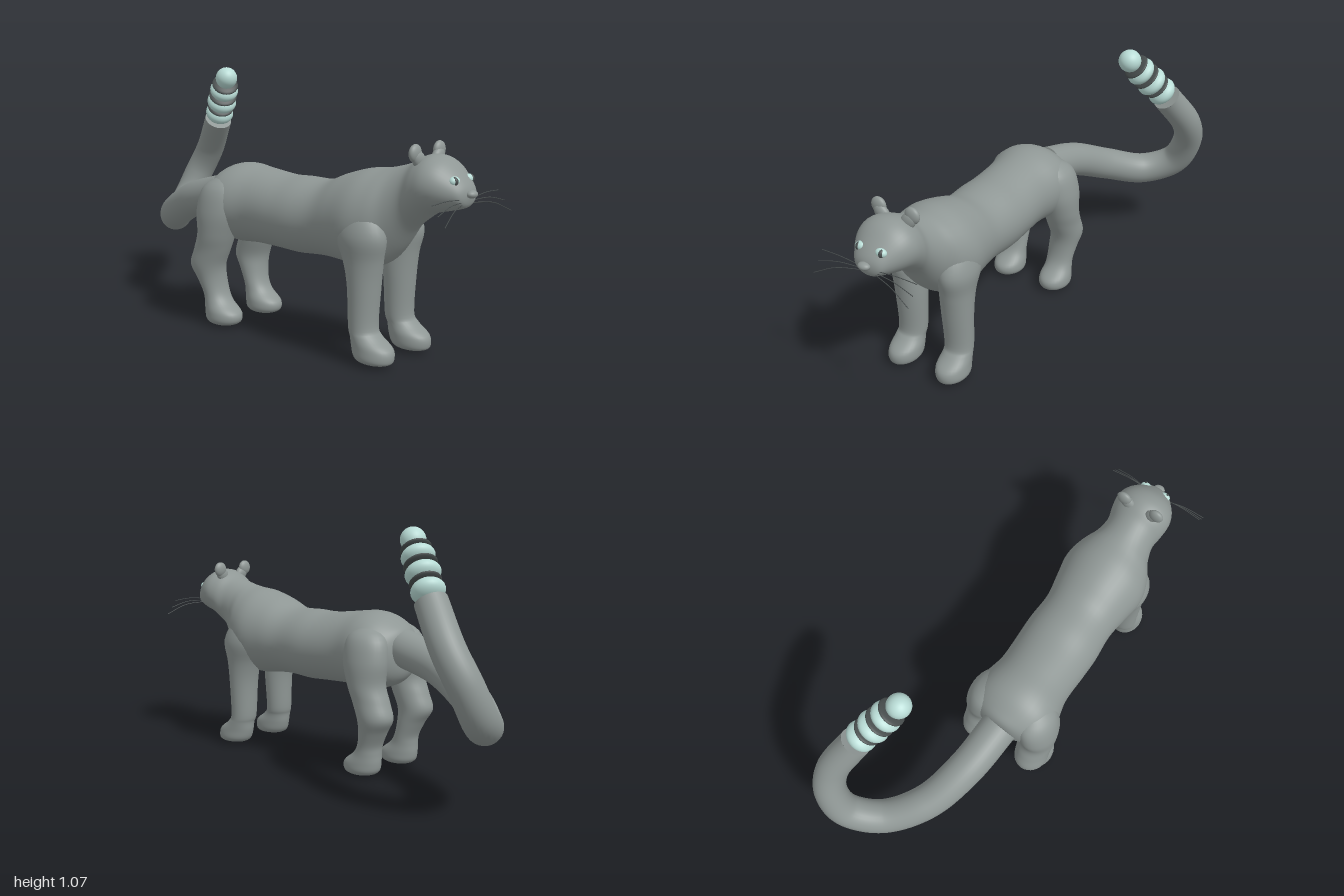
import * as THREE from 'three';

const MID = -0.145; // x of the animal's mirror plane
const material = (name, color) => {
  const m = new THREE.MeshStandardMaterial({ color });
  m.name = name;
  return m;
};

// Catmull-Rom through rows of numbers, n steps per span
function smoothRows(rows, n) {
  const out = [];
  const at = (i) => rows[Math.min(Math.max(i, 0), rows.length - 1)];
  for (let i = 0; i < rows.length - 1; i++) {
    for (let k = 0; k < n; k++) {
      const t = k / n;
      out.push(rows[i].map((b, c) => {
        const a = at(i - 1)[c], d = at(i + 1)[c], e = at(i + 2)[c];
        return b + 0.5 * t * (d - a + t * (2 * a - 5 * b + 4 * d - e + t * (3 * (b - d) + e - a)));
      }));
    }
  }
  out.push(rows[rows.length - 1]);
  return out;
}

// Skin of rings; place(row, cos, sin) gives each vertex
function loft(rows, place, sides = 40, steps = 5) {
  const rings = smoothRows(rows, steps), pos = [], idx = [];
  rings.forEach((r, i) => {
    for (let j = 0; j < sides; j++) {
      const a = (j / sides) * Math.PI * 2;
      pos.push(...place(r, Math.cos(a), Math.sin(a)));
      if (i === rings.length - 1) continue;
      const p = i * sides + j, q = i * sides + (j + 1) % sides;
      idx.push(p, q, p + sides, q, q + sides, p + sides);
    }
  });
  const g = new THREE.BufferGeometry();
  g.setAttribute('position', new THREE.Float32BufferAttribute(pos, 3));
  g.setIndex(idx);
  g.computeVertexNormals();
  return g;
}

export function createModel() {
  const group = new THREE.Group();
  group.name = 'cat';
  const fur = material('grey fur', 0x8f9795);
  const pale = material('pale aqua', 0xb9dcd6);
  const dark = material('dark grey', 0x484e4e);

  const add = (name, geo, mat, parent = group) => {
    const m = new THREE.Mesh(geo, mat);
    m.name = name;
    parent.add(m);
    return m;
  };
  const ball = (name, mat, [x, y, z], [rx, ry, rz], parent) => {
    const m = add(name, new THREE.SphereGeometry(1, 32, 20), mat, parent);
    m.position.set(x, y, z);
    m.scale.set(rx, ry, rz);
    return m;
  };

  // Body, neck and head: z, top, bottom, half width
  add('body', loft([
    [-0.305, 0.54, 0.53, 0], [-0.295, 0.61, 0.44, 0.08], [-0.26, 0.645, 0.39, 0.15],
    [-0.2, 0.68, 0.365, 0.185], [-0.13, 0.692, 0.355, 0.185], [-0.03, 0.68, 0.36, 0.165],
    [0.1, 0.665, 0.357, 0.168], [0.2, 0.667, 0.353, 0.17], [0.32, 0.668, 0.36, 0.163],
    [0.42, 0.705, 0.355, 0.178], [0.52, 0.733, 0.345, 0.193], [0.6, 0.742, 0.37, 0.173],
    [0.66, 0.755, 0.43, 0.135], [0.72, 0.775, 0.515, 0.115], [0.77, 0.803, 0.56, 0.125],
    [0.82, 0.812, 0.593, 0.13], [0.87, 0.795, 0.607, 0.115], [0.92, 0.75, 0.62, 0.082],
    [0.95, 0.712, 0.635, 0.052], [0.962, 0.68, 0.675, 0],
  ], ([z, top, bottom, w], c, s) =>
    [MID + w * c, (top + bottom) / 2 + s * (top - bottom) / 2, z]), fur);

  // Legs with paws: y, offset from the mirror plane, z, x radius, z radius
  const frontLeg = [
    [0.64, 0.09, 0.54, 0, 0], [0.6, 0.1, 0.55, 0.06, 0.07], [0.5, 0.122, 0.56, 0.075, 0.11],
    [0.4, 0.117, 0.57, 0.07, 0.083], [0.3, 0.115, 0.575, 0.068, 0.065], [0.15, 0.117, 0.575, 0.063, 0.056],
    [0.11, 0.12, 0.59, 0.062, 0.062], [0.07, 0.12, 0.62, 0.067, 0.087], [0.03, 0.122, 0.63, 0.066, 0.083],
    [0.013, 0.122, 0.635, 0.045, 0.06], [0.007, 0.122, 0.635, 0, 0],
  ];
  const hindLeg = [
    [0.66, 0.09, -0.16, 0, 0], [0.6, 0.11, -0.18, 0.07, 0.09], [0.5, 0.13, -0.19, 0.082, 0.105],
    [0.4, 0.135, -0.2, 0.079, 0.085], [0.33, 0.135, -0.225, 0.075, 0.083], [0.26, 0.137, -0.25, 0.073, 0.08],
    [0.2, 0.13, -0.235, 0.067, 0.06], [0.14, 0.125, -0.215, 0.062, 0.05], [0.1, 0.125, -0.2, 0.063, 0.06],
    [0.06, 0.125, -0.175, 0.07, 0.085], [0.025, 0.125, -0.17, 0.068, 0.082],
    [0.008, 0.125, -0.17, 0.045, 0.055], [0.001, 0.125, -0.17, 0, 0],
  ];

  for (const side of [-1, 1]) {
    const label = side > 0 ? 'left' : 'right';
    const legShape = ([y, off, z, rx, rz], c, s) => [MID + side * off + rx * c, y, z + rz * s];
    add(`${label}FrontLeg`, loft(frontLeg, legShape, 32), fur);
    add(`${label}HindLeg`, loft(hindLeg, legShape, 32), fur);

    // Ear: rounded tip on a short stalk
    const ear = new THREE.Group();
    ear.name = `${label}Ear`;
    group.add(ear);
    ball('earTip', fur, [MID + side * 0.078, 0.817, 0.77], [0.033, 0.034, 0.018], ear);
    const stalk = ball('earStalk', fur, [MID + side * 0.06, 0.79, 0.775], [0.03, 0.045, 0.02], ear);
    stalk.rotation.z = -side * 0.7;

    // Eye and pupil
    ball(`${label}Eye`, pale, [MID + side * 0.046, 0.727, 0.918], [0.025, 0.018, 0.018]);
    ball(`${label}Pupil`, dark, [MID + side * 0.053, 0.727, 0.922], [0.011, 0.017, 0.016]);

    // Whiskers fan out and droop
    [[0.665, 0.94], [0.63, 0.967], [0.595, 0.997]].forEach(([y, z], i) => {
      const path = new THREE.CatmullRomCurve3([
        new THREE.Vector3(MID + side * 0.03, 0.66 - i * 0.008, 0.945),
        new THREE.Vector3(MID + side * 0.13, (0.66 + y) / 2 + 0.007, (0.95 + z) / 2),
        new THREE.Vector3(MID + side * 0.222, y, z),
      ]);
      add(`${label}Whisker`, new THREE.TubeGeometry(path, 12, 0.0016, 6), dark);
    });
  }

  ball('nose', fur, [MID, 0.68, 0.963], [0.026, 0.015, 0.02]);

  // Tail: tapering tube with a flat end
  const path = new THREE.CatmullRomCurve3([
    [-0.145, 0.545, -0.29], [-0.12, 0.49, -0.5], [-0.05, 0.4, -0.7], [0.08, 0.345, -0.85],
    [0.21, 0.4, -0.917], [0.28, 0.53, -0.9], [0.295, 0.65, -0.835], [0.24, 0.81, -0.715],
  ].map((p) => new THREE.Vector3(...p)));
  const STEPS = 80, SIDES = 32, R0 = 0.08, R1 = 0.064;
  const tube = new THREE.TubeGeometry(path, STEPS, R0, SIDES);
  const v = new THREE.Vector3(), p = tube.attributes.position;
  for (let i = 0; i < p.count; i++) {
    const t = Math.floor(i / (SIDES + 1)) / STEPS, c = path.getPointAt(t);
    v.fromBufferAttribute(p, i).sub(c).multiplyScalar(1 + t * (R1 / R0 - 1)).add(c);
    p.setXYZ(i, v.x, v.y, v.z);
  }
  add('tail', tube, fur);
  [0, 1].forEach((t) => {
    const cap = add('tailCap', new THREE.CircleGeometry(t ? R1 : R0, SIDES), fur);
    cap.position.copy(path.getPointAt(t));
    cap.lookAt(path.getPointAt(t).addScaledVector(path.getTangentAt(t), t ? 1 : -1));
  });

  // Tail tip: flattened pale beads with dark rings between them
  const start = new THREE.Vector3(0.225, 0.845, -0.69), end = new THREE.Vector3(0.13, 1.02, -0.545);
  const axis = end.clone().sub(start).normalize();
  const turn = new THREE.Quaternion().setFromUnitVectors(new THREE.Vector3(0, 1, 0), axis);
  const bead = (name, mat, t, r, h) =>
    ball(name, mat, start.clone().lerp(end, t).toArray(), [r, h, r]).quaternion.copy(turn);
  [[0, 0.066, 0.042], [0.33, 0.069, 0.04], [0.66, 0.066, 0.038], [1, 0.05, 0.05]]
    .forEach(([t, r, h]) => bead('tailBead', pale, t, r, h));
  [[0.17, 0.062], [0.5, 0.066], [0.81, 0.061]]
    .forEach(([t, r]) => bead('tailRing', dark, t, r, 0.014));

  return group;
}
